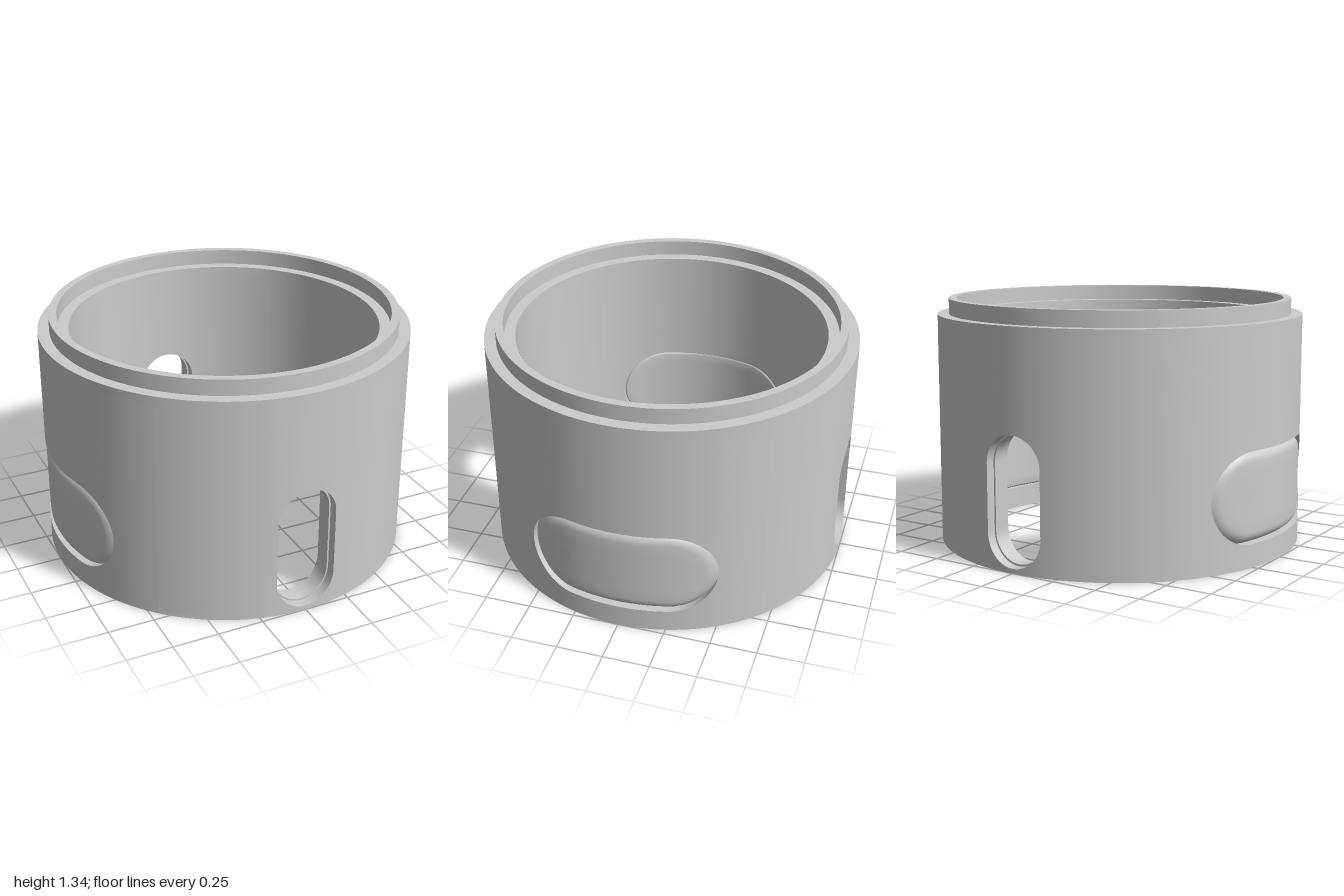
import * as THREE from 'three';
import { toCreasedNormals } from 'three/addons/utils/BufferGeometryUtils.js';

const R_OUT = 1, R_IN = 0.835, BODY_H = 1.25, TOP_H = 1.335;
const SECTOR = Math.PI / 4; // half angle of one quarter of the wall

const material = new THREE.MeshStandardMaterial({ color: 0xcccccc, side: THREE.DoubleSide });

// Stadium outlines: straight core half sizes a (sideways), b (upright), end radius r, centre height cy
const slot = { a: 0, b: 0.1775, r: 0.165, cy: 0.3675 };
const slotNeck = { ...slot, r: 0.155 };
const window_ = { a: 0.263, b: 0, r: 0.242, cy: 0.367 };

// Ray angles around a hole, including the corners of its wall quarter
function rayAngles(cy) {
  const list = [];
  for (let i = 0; i < 192; i++) list.push((i / 192) * Math.PI * 2 - Math.PI + 0.0001);
  for (const x of [-SECTOR, SECTOR]) for (const y of [-cy, BODY_H - cy]) list.push(Math.atan2(y, x));
  return list.sort((p, q) => p - q);
}

// Point of a stadium outline along a ray, relative to its centre
function outlinePoint({ a, b, r }, angle) {
  const c = Math.cos(angle), s = Math.sin(angle);
  let lo = 0, hi = 2;
  for (let i = 0; i < 40; i++) {
    const t = (lo + hi) / 2;
    const d = Math.hypot(Math.max(Math.abs(t * c) - a, 0), Math.max(Math.abs(t * s) - b, 0));
    if (d < r) lo = t; else hi = t;
  }
  return [lo * c, lo * s];
}

// Skin between closed rings of equal point count
function loft(rings) {
  const pos = [], n = rings[0].length;
  for (let i = 0; i < rings.length - 1; i++) {
    for (let j = 0; j < n; j++) {
      const k = (j + 1) % n;
      const a = rings[i][j], b = rings[i][k], c = rings[i + 1][k], d = rings[i + 1][j];
      pos.push(...a, ...b, ...c, ...a, ...c, ...d);
    }
  }
  const g = new THREE.BufferGeometry();
  g.setAttribute('position', new THREE.Float32BufferAttribute(pos, 3));
  return toCreasedNormals(g, 0.5);
}

// Quarter of the wall: outer skin in to the hole, through its sides, and back out on the inner skin
function wallQuarter(layers) {
  const cy = layers[0][0].cy, angles = rayAngles(cy), STEPS = 10;
  const skinRing = (shape, R, t) => angles.map((ang) => {
    const c = Math.cos(ang), s = Math.sin(ang);
    const reach = Math.min(SECTOR / Math.abs(c), (s > 0 ? BODY_H - cy : cy) / Math.abs(s));
    const [hx, hy] = outlinePoint(shape, ang);
    const th = THREE.MathUtils.lerp(reach * c, Math.asin(hx / R), t);
    const y = cy + THREE.MathUtils.lerp(reach * s, hy, t);
    return [R * Math.sin(th), y, R * Math.cos(th)];
  });
  const rings = [];
  const [first, last] = [layers[0], layers[layers.length - 1]];
  for (let i = 0; i < STEPS; i++) rings.push(skinRing(...first, i / STEPS));
  for (const layer of layers) rings.push(skinRing(...layer, 1));
  for (let i = STEPS - 1; i >= 0; i--) rings.push(skinRing(...last, i / STEPS));
  return loft(rings);
}

// Rounded pad filling a side window
function padGeometry() {
  const { a, r, cy } = window_, angles = rayAngles(cy);
  const ring = (inset, depth) => angles.map((ang) => {
    const [x, y] = outlinePoint(window_, ang);
    const core = THREE.MathUtils.clamp(x, -a, a), k = (r - inset) / r;
    const s = core + (x - core) * k;
    return [s, cy + y * k, depth(s)];
  });
  const inner = (drop) => (s) => 0.845 - 0.72 * s * s + drop;
  const outer = (drop) => (s) => Math.sqrt(0.995 ** 2 - s * s) - drop;
  const rings = [r, 0.18, 0.12, 0.06].map((d) => ring(d, inner(0)));
  const edge = (f, face, steps) => steps.map((t) => {
    const q = (t * Math.PI) / 2;
    return ring(f * (1 - Math.sin(q)), face(f * (1 - Math.cos(q))));
  });
  rings.push(...edge(0.02, inner, [0, 0.33, 0.67, 1]));
  rings.push(...edge(0.06, outer, [1, 0.83, 0.67, 0.5, 0.33, 0.17, 0]));
  rings.push(...[0.12, 0.18, r].map((d) => ring(d, outer(0))));
  return loft(rings);
}

function lathe(points) {
  const g = new THREE.LatheGeometry(points.map((p) => new THREE.Vector2(...p)), 192);
  return toCreasedNormals(g.toNonIndexed(), 0.5);
}

export function createModel() {
  const model = new THREE.Group();
  const add = (name, geometry, turn = 0) => {
    const mesh = new THREE.Mesh(geometry, material);
    mesh.name = name;
    mesh.rotation.y = turn;
    model.add(mesh);
  };

  // Slotted front and back walls, stepped through their thickness
  const slotWall = wallQuarter([
    [slot, R_OUT], [slot, 0.945], [slotNeck, 0.945],
    [slotNeck, 0.89], [slot, 0.89], [slot, R_IN],
  ]);
  add('frontWall', slotWall);
  add('backWall', slotWall, Math.PI);

  // Side walls with windows and their pads
  const sideWall = wallQuarter([[window_, R_OUT], [window_, R_IN]]);
  const pad = padGeometry();
  for (const [side, turn] of [['left', Math.PI / 2], ['right', -Math.PI / 2]]) {
    add(side + 'Wall', sideWall, turn);
    add(side + 'Pad', pad, turn);
  }

  // Shoulder, raised lip and inner ledge
  add('topLip', lathe([
    [R_OUT, BODY_H], [0.938, BODY_H], [0.938, TOP_H],
    [0.895, TOP_H], [0.895, BODY_H], [R_IN, BODY_H],
  ]));
  add('bottomRim', lathe([[R_IN, 0], [R_OUT, 0]]));
  return model;
}
